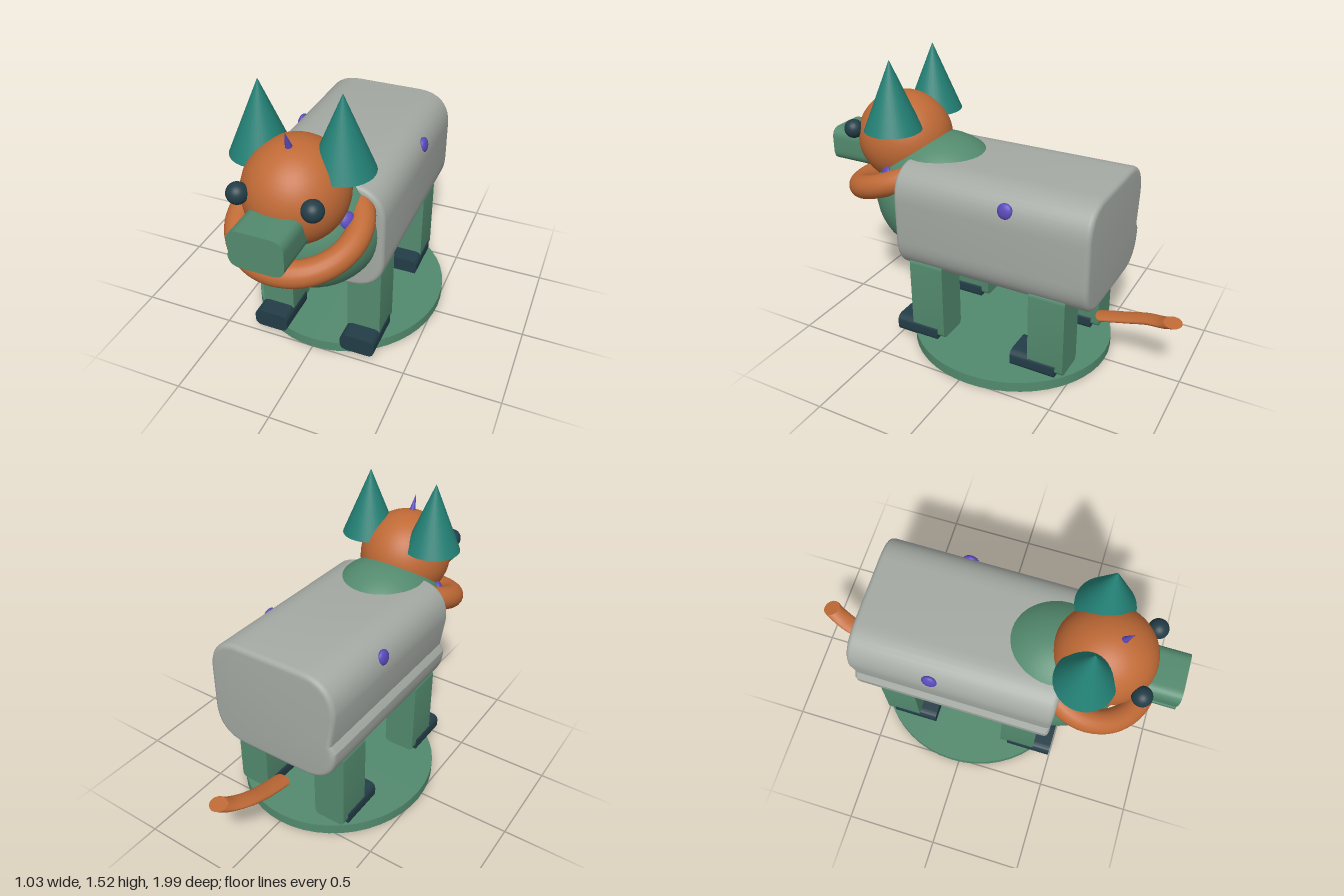
import * as THREE from 'three';
import { toCreasedNormals } from 'three/addons/utils/BufferGeometryUtils.js';

const material = (name, color) => {
  const m = new THREE.MeshStandardMaterial({ color });
  m.name = name;
  return m;
};

// Rounded block: a rounded rectangle in x-y, extruded along z and centred.
// The right side (-x) is pinched inwards by dent just above the lower corner.
function roundedBlock(w, h, d, r, bevel = 0, dent = 0) {
  const x = w / 2 - bevel, y = h / 2 - bevel;
  const s = new THREE.Shape();
  s.moveTo(-x, -y + r);
  s.quadraticCurveTo(-x, -y, -x + r, -y);
  s.lineTo(x - r, -y);
  s.quadraticCurveTo(x, -y, x, -y + r);
  s.lineTo(x, y - r);
  s.quadraticCurveTo(x, y, x - r, y);
  s.lineTo(-x + r, y);
  s.quadraticCurveTo(-x, y, -x, y - r);
  if (dent) s.lineTo(-x + dent, -y + r + dent * 1.5);
  const g = new THREE.ExtrudeGeometry(s, {
    depth: d - 2 * bevel, bevelEnabled: bevel > 0,
    bevelSize: bevel, bevelThickness: bevel, bevelSegments: 4, curveSegments: 10,
  });
  g.translate(0, 0, -d / 2 + bevel);
  return toCreasedNormals(g, 0.6);
}

export function createModel() {
  const model = new THREE.Group();
  const orange = material('orange', 0xc06a36);
  const green = material('green', 0x538a6e);
  const grey = material('grey', 0xa5aaa4);
  const teal = material('teal', 0x238075);
  const navy = material('navy', 0x233d47);
  const purple = material('purple', 0x5a49b8);

  const add = (name, geometry, mat, x, y, z, parent = model) => {
    const mesh = new THREE.Mesh(geometry, mat);
    mesh.name = name;
    mesh.position.set(x, y, z);
    parent.add(mesh);
    return mesh;
  };

  // Oval stand
  add('base', new THREE.CylinderGeometry(0.515, 0.515, 0.055, 48), green, 0, 0.0275, -0.045).scale.z = 1.065;

  // Trunk and chest
  add('body', roundedBlock(0.72, 0.585, 1.065, 0.16, 0.025, 0.025), grey, 0, 0.7375, -0.0775);
  const ball = new THREE.SphereGeometry(1, 40, 28);
  add('chest', ball, green, 0, 0.77, 0.38).scale.set(0.335, 0.34, 0.37);

  // Head, muzzle, crest and collar
  add('head', ball, orange, 0, 1.057, 0.604).scale.set(0.245, 0.247, 0.255);
  add('muzzle', roundedBlock(0.26, 0.185, 0.3, 0.06, 0, 0.006), green, 0, 0.977, 0.85);
  add('crest', new THREE.ConeGeometry(0.019, 0.1, 16), purple, 0, 1.33, 0.672).rotation.x = 0.35;
  add('collar', new THREE.TorusGeometry(0.285, 0.063, 20, 56), orange, 0, 0.875, 0.588).rotation.x = -1.213;

  // Paired parts
  const leg = roundedBlock(0.175, 0.445, 0.195, 0.03);
  const foot = roundedBlock(0.185, 0.1, 0.25, 0.04);
  const ear = new THREE.ConeGeometry(0.148, 0.357, 32);
  const addSpot = (name, x, y, z, normal) => {
    const spot = add(name, ball, purple, x, y, z);
    spot.scale.set(0.04, 0.04, 0.02);
    spot.quaternion.setFromUnitVectors(new THREE.Vector3(0, 0, 1), normal.normalize());
  };
  for (const [side, s] of [['left', 1], ['right', -1]]) {
    add(side + 'Ear', ear, teal, s * 0.195, 1.344, 0.54);
    add(side + 'Eye', ball, navy, s * 0.174, 1.115, 0.812).scale.setScalar(0.05);
    addSpot(side + 'BodySpot', s * 0.343, 0.932, -0.175, new THREE.Vector3(s, 0.2, 0));
    addSpot(side + 'ChestSpot', s * 0.23, 0.93, 0.58, new THREE.Vector3(s * 0.23, 0.16, 0.2));
    for (const [end, z] of [['Front', 0.2975], ['Back', -0.3925]]) {
      add(side + end + 'Leg', leg, green, s * 0.2425, 0.2925, z);
      add(side + end + 'Foot', foot, navy, s * 0.2425, 0.086, z + 0.07);
    }
  }

  // Flattened curling tail with closed ends
  const tail = new THREE.Group();
  tail.name = 'tail';
  tail.position.y = 0.265;
  tail.scale.y = 0.3;
  model.add(tail);
  const path = new THREE.CatmullRomCurve3([
    [0, 0, -0.565], [0, 0.11, -0.7], [0.01, 0.22, -0.81], [0.04, 0.31, -0.9], [0.062, 0.4, -0.948],
  ].map((p) => new THREE.Vector3(...p)));
  add('tailTube', new THREE.TubeGeometry(path, 32, 0.05, 16), orange, 0, 0, 0, tail);
  for (const [t, sign] of [[0, -1], [1, 1]]) {
    const cap = add('tailCap', new THREE.CircleGeometry(0.05, 16), orange, 0, 0, 0, tail);
    cap.position.copy(path.getPointAt(t));
    cap.quaternion.setFromUnitVectors(new THREE.Vector3(0, 0, 1), path.getTangentAt(t).multiplyScalar(sign));
  }

  return model;
}
